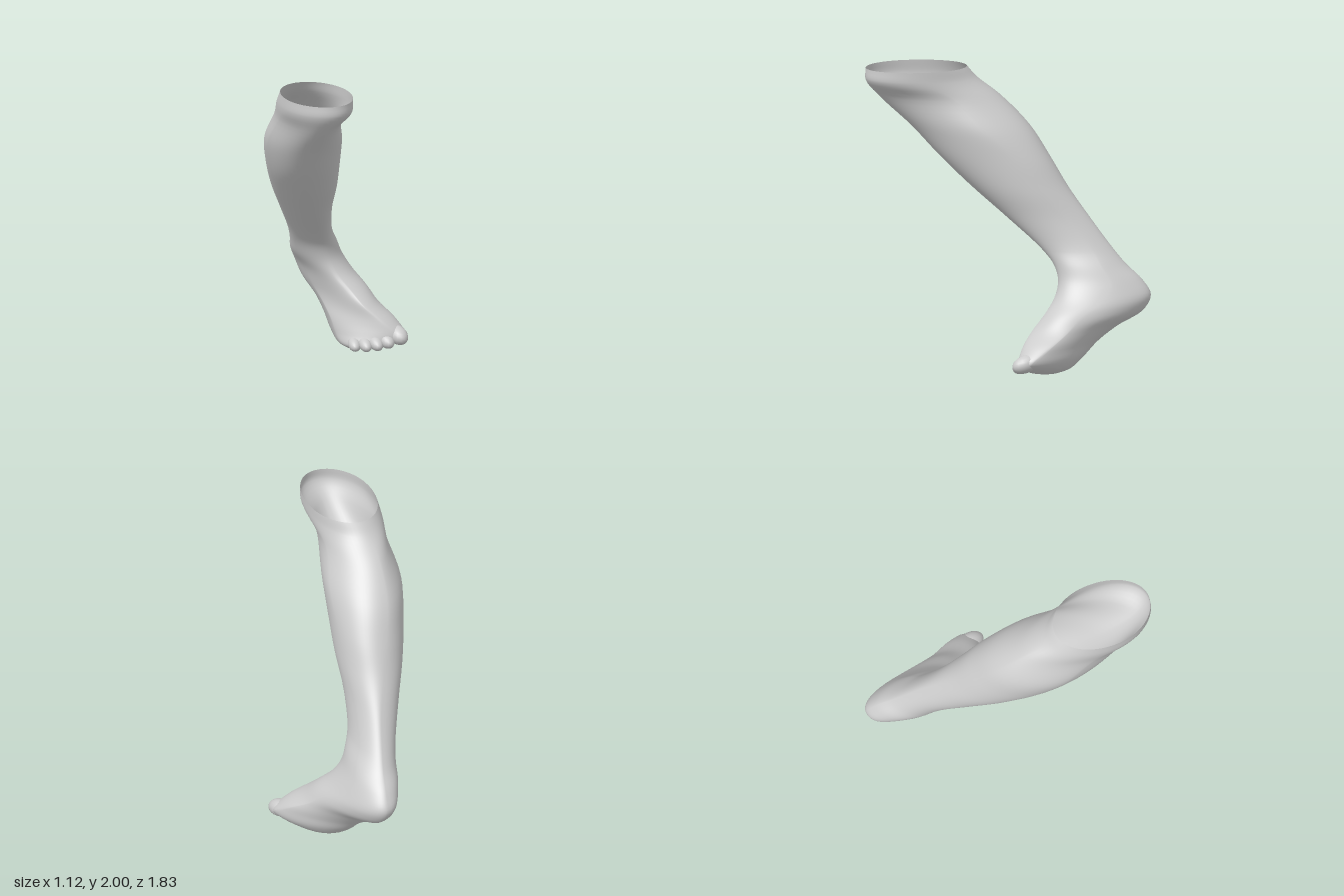
import * as THREE from 'three';

const skin = new THREE.MeshStandardMaterial({ color: 0xcccccc, side: THREE.DoubleSide });
const AROUND = 56, STEPS = 5;

// Horizontal sections: y, then (x, z) of the front, +x side, back and -x side points,
// then corner flatness (1 = ellipse, 2 = straight) for front/-x with back/+x, and for the other two
const legSections = [
  [2.00, -0.33, 0.91, -0.10, 0.54, -0.32, 0.23, -0.56, 0.60, 1, 1],
  [1.92, -0.33, 0.91, -0.10, 0.52, -0.32, 0.16, -0.565, 0.58, 1, 1],
  [1.80, -0.36, 0.81, -0.09, 0.34, -0.30, 0.01, -0.54, 0.42, 0.95, 1.25],
  [1.60, -0.33, 0.60, 0.00, 0.15, -0.24, -0.18, -0.535, 0.22, 0.85, 1.2],
  [1.40, -0.27, 0.42, 0.05, -0.04, -0.16, -0.30, -0.47, 0.11, 0.85, 1.1],
  [1.20, -0.20, 0.22, 0.085, -0.18, -0.07, -0.41, -0.36, -0.07, 0.95, 1],
  [1.00, -0.09, 0.00, 0.12, -0.35, 0.03, -0.54, -0.23, -0.25, 1, 1],
  [0.80, 0.04, -0.21, 0.19, -0.52, 0.11, -0.68, -0.10, -0.42, 1.1, 1],
];
const footSections = [
  [0.70, 0.10, -0.28, 0.25, -0.57, 0.15, -0.76, -0.05, -0.50, 1.2, 1],
  [0.60, 0.14, -0.30, 0.30, -0.62, 0.19, -0.86, -0.01, -0.56, 1.1, 0.95],
  [0.50, 0.18, -0.27, 0.35, -0.57, 0.21, -0.915, 0.05, -0.57, 1, 0.85],
  [0.40, 0.24, -0.19, 0.405, -0.40, 0.23, -0.86, 0.08, -0.52, 1.25, 0.85],
  [0.30, 0.30, -0.09, 0.455, -0.29, 0.24, -0.68, 0.11, -0.40, 1.6, 1],
  [0.20, 0.40, 0.00, 0.53, -0.14, 0.23, -0.55, 0.13, -0.30, 1.55, 1],
  [0.11, 0.47, 0.04, 0.555, -0.03, 0.23, -0.46, 0.145, -0.25, 1.3, 1],
  [0.04, 0.33, -0.03, 0.45, -0.10, 0.25, -0.37, 0.165, -0.20, 1.1, 1],
  [0.01, 0.29, -0.13, 0.35, -0.17, 0.26, -0.29, 0.21, -0.20, 1, 1],
];

// Point j of a section, made of four rounded corners between its extreme points
function sectionPoint([y, xf, zf, xr, zr, xb, zb, xl, zl, flatA, flatB], j) {
  const a = (j / AROUND) * Math.PI * 2, s = Math.sin(a), c = Math.cos(a);
  const side = s >= 0 ? [xr, zr] : [xl, zl];
  const end = c >= 0 ? [xf, zf] : [xb, zb];
  const flat = s * c < 0 ? flatA : flatB;
  return new THREE.Vector3(
    end[0] + (side[0] - end[0]) * Math.abs(s) ** flat, y,
    side[1] + (end[1] - side[1]) * Math.abs(c) ** flat);
}

// Smooth skin through the sections, open at the top and closed at the bottom
function skinGeometry(sections) {
  const rows = (sections.length - 1) * STEPS, pos = [], index = [];
  const curves = Array.from({ length: AROUND }, (_, j) =>
    new THREE.CatmullRomCurve3(sections.map(s => sectionPoint(s, j))));
  for (let i = 0; i <= rows; i++)
    for (const curve of curves) pos.push(...curve.getPoint(i / rows).toArray());
  for (let i = 0; i < rows; i++)
    for (let j = 0; j < AROUND; j++) {
      const k = (j + 1) % AROUND;
      const a = i * AROUND + j, d = i * AROUND + k, b = a + AROUND, c = d + AROUND;
      index.push(a, b, c, a, c, d);
    }
  const last = sections[sections.length - 1], base = rows * AROUND;
  pos.push((last[1] + last[5]) / 2, 0.004, (last[2] + last[6]) / 2);
  for (let j = 0; j < AROUND; j++)
    index.push(base + j, base + AROUND, base + (j + 1) % AROUND);
  const g = new THREE.BufferGeometry();
  g.setAttribute('position', new THREE.Float32BufferAttribute(pos, 3));
  g.setIndex(index);
  g.computeVertexNormals();
  return g;
}

export function createModel() {
  const group = new THREE.Group();
  group.name = 'lowerLeg';

  const leg = new THREE.Mesh(skinGeometry([...legSections, ...footSections]), skin);
  leg.name = 'legAndFoot';
  group.add(leg);

  // Toes from big to little: x, y, z, radius, half length
  const toes = new THREE.Group();
  toes.name = 'toes';
  [
    [0.495, 0.115, -0.005, 0.062, 0.095],
    [0.415, 0.085, -0.015, 0.050, 0.085],
    [0.345, 0.070, -0.025, 0.046, 0.080],
    [0.280, 0.060, -0.050, 0.043, 0.075],
    [0.220, 0.055, -0.095, 0.042, 0.070],
  ].forEach(([x, y, z, r, half], i) => {
    const toe = new THREE.Mesh(new THREE.SphereGeometry(1, 16, 12), skin);
    toe.name = i ? 'toe' + (i + 1) : 'bigToe';
    toe.scale.set(r, r * 0.95, half);
    toe.position.set(x, y, z);
    toe.rotation.set(0.3, 0.15 - i * 0.08, 0);
    toes.add(toe);
  });
  group.add(toes);
  return group;
}
